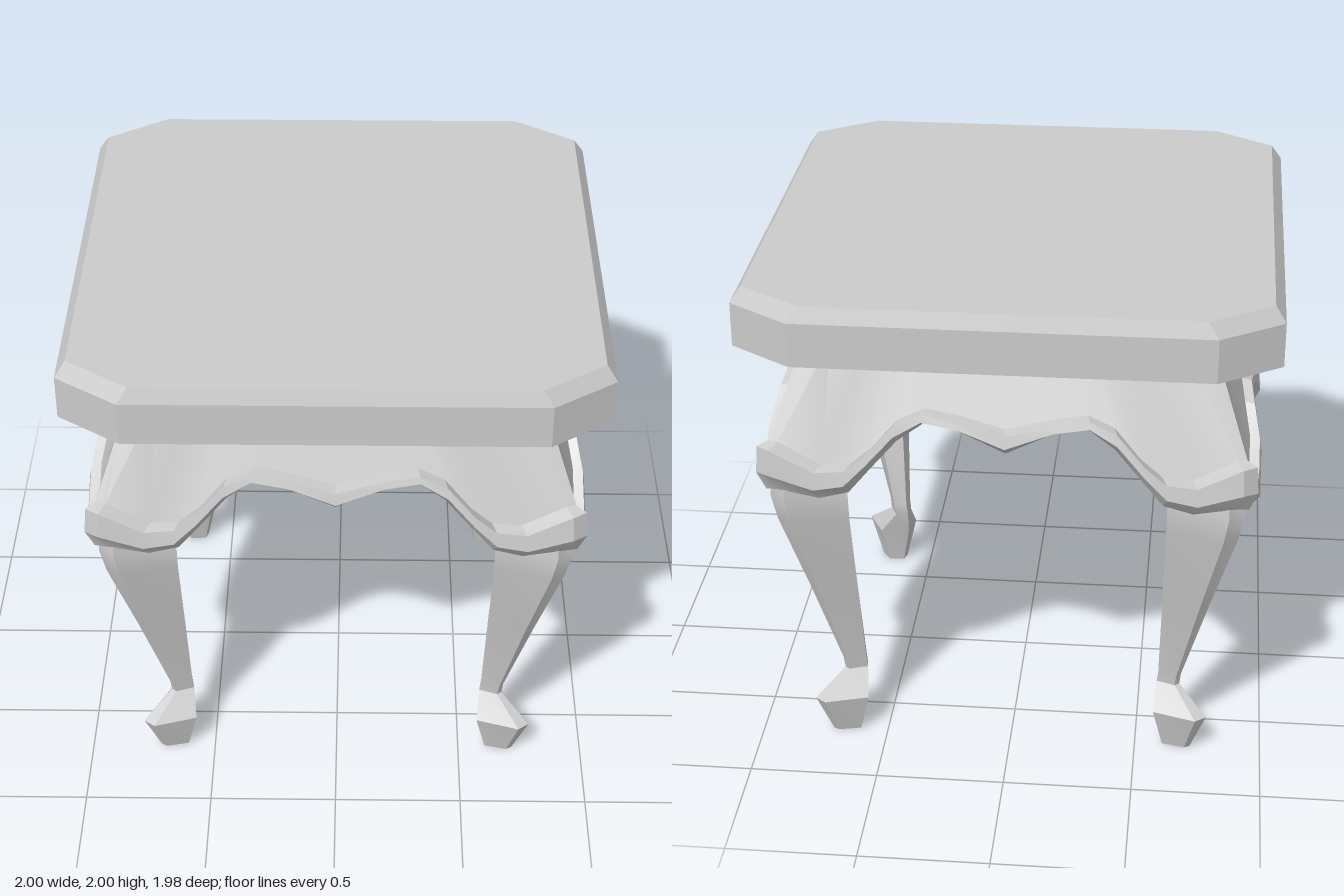
import * as THREE from 'three';
import { toCreasedNormals } from 'three/addons/utils/BufferGeometryUtils.js';

// Skin closed rings (ordered top to bottom, counter-clockwise from above)
function loft(rings, { capTop = false, capBottom = false, crease = 0.45 } = {}) {
  const n = rings[0].length;
  const index = [];
  for (let i = 0; i < rings.length - 1; i++) {
    for (let j = 0; j < n; j++) {
      const k = (j + 1) % n;
      const a = i * n + j, b = i * n + k, c = a + n, d = b + n;
      index.push(a, c, d, a, d, b);
    }
  }
  const last = (rings.length - 1) * n;
  for (let j = 1; j < n - 1; j++) {
    if (capTop) index.push(0, j, j + 1);
    if (capBottom) index.push(last, last + j + 1, last + j);
  }
  const geo = new THREE.BufferGeometry();
  geo.setAttribute('position', new THREE.Float32BufferAttribute(rings.flat(2), 3));
  geo.setIndex(index);
  return toCreasedNormals(geo, crease);
}

// Complete a ring from its front-centre to side-centre quarter
function fullRing(q) {
  const flip = (sx, sz) => q.map(([x, y, z]) => [x * sx, y, z * sz]);
  return [
    ...q.slice(0, -1),
    ...flip(1, -1).reverse().slice(0, -1),
    ...flip(-1, -1).slice(0, -1),
    ...flip(-1, 1).reverse().slice(0, -1),
  ];
}

export function createModel() {
  const group = new THREE.Group();
  const solid = new THREE.MeshStandardMaterial({ color: 0xcccccc });
  const shell = new THREE.MeshStandardMaterial({ color: 0xcccccc, side: THREE.DoubleSide });
  const add = (name, geo, mat) => {
    const mesh = new THREE.Mesh(geo, mat);
    mesh.name = name;
    group.add(mesh);
    return mesh;
  };

  // Table top: hollow slab with cut corners and a bevelled rim
  const octagon = (y, x, z) => fullRing([
    [0, y, z], [x - 0.235, y, z], [x, y, z - 0.16], [x, y, 0],
  ]);
  add('tableTop', loft([
    octagon(2, 0.96, 0.97), octagon(1.94, 1, 0.99), octagon(1.77, 1, 0.99),
  ], { capTop: true, crease: 0.2 }), shell);

  // Scalloped edge, centre to corner: [distance along, moulding top, moulding bottom]
  const front = [
    [0, 1.47, 1.38], [0.17, 1.51, 1.46], [0.3, 1.53, 1.48], [0.4, 1.49, 1.41],
    [0.5, 1.38, 1.30], [0.58, 1.31, 1.20], [0.69, 1.30, 1.17], [0.85, 1.39, 1.20],
  ];
  const side = [
    [0, 1.36, 1.20], [0.16, 1.42, 1.36], [0.3, 1.46, 1.41], [0.42, 1.42, 1.36],
    [0.53, 1.33, 1.25], [0.69, 1.24, 1.13], [0.84, 1.39, 1.19],
  ];
  const topY = 1.745;
  const frontZ = (y) => Math.min(0.85, 0.71 + 0.43 * (topY - y));
  const sideX = (y) => Math.min(0.90, 0.76 + 0.36 * (topY - y));

  // One ring: t blends moulding bottom to top, out pushes it off the flared apron
  const apronRing = (t, out) => {
    const at = ([s, hi, lo], end) => [s + (out * 0.5 * s) / end, lo + (hi - lo) * t];
    const f = front.map((p) => {
      const [s, y] = at(p, 0.85);
      return [s, y, frontZ(p[1]) + out];
    });
    const r = side.map((p) => {
      const [s, y] = at(p, 0.84);
      return [sideX(p[1]) + out * 0.75, y, s];
    });
    return fullRing([...f, ...r.reverse()]);
  };
  const apronTop = fullRing([
    ...front.map(([s]) => [(s * 0.66) / 0.85, topY, 0.71]),
    ...side.map(([s]) => [0.76, topY, (s * 0.68) / 0.84]).reverse(),
  ]);

  add('apron', loft([apronTop, apronRing(1, 0)]), shell);
  add('apronMoulding', loft([
    apronRing(1, 0), apronRing(0.93, 0.05), apronRing(0.4, 0.06),
    apronRing(0, 0.02), apronRing(0.15, -0.04),
  ], { crease: 0.35 }), shell);

  // Curved legs: [y, inner x, outer x, inner z, outer z]
  const legRows = [
    [1.28, 0.63, 0.88, 0.69, 0.86],
    [1.16, 0.60, 0.89, 0.695, 0.88],
    [1.05, 0.60, 0.87, 0.695, 0.86],
    [0.70, 0.593, 0.775, 0.64, 0.765],
    [0.32, 0.585, 0.675, 0.58, 0.675],
    [0.27, 0.58, 0.67, 0.585, 0.665],
    [0.17, 0.57, 0.78, 0.605, 0.765],
    [0, 0.61, 0.72, 0.645, 0.705],
  ];
  const section = [[0, 0.68], [0.8, 1], [1, 0.8], [0.68, 0], [0.1, 0.1]];
  for (const sx of [1, -1]) {
    for (const sz of [1, -1]) {
      const rings = legRows.map(([y, x0, x1, z0, z1]) => {
        const ring = section.map(([u, v]) => [
          sx * (x0 + (x1 - x0) * u), y, sz * (z0 + (z1 - z0) * v),
        ]);
        return sx * sz < 0 ? ring.reverse() : ring;
      });
      const name = (sz > 0 ? 'front' : 'back') + (sx > 0 ? 'Left' : 'Right') + 'Leg';
      add(name, loft(rings, { capTop: true, capBottom: true }), solid);
    }
  }

  // Faceted drop pendants under the side aprons
  const drop = [[0, 0.98], [0.075, 1.135], [0.03, 1.22], [0, 1.25]]
    .map(([r, y]) => new THREE.Vector2(r, y));
  for (const sx of [1, -1]) {
    const geo = toCreasedNormals(new THREE.LatheGeometry(drop, 4), 0.2);
    const mesh = add(sx > 0 ? 'leftPendant' : 'rightPendant', geo, solid);
    mesh.position.x = sx * 0.845;
  }
  return group;
}
